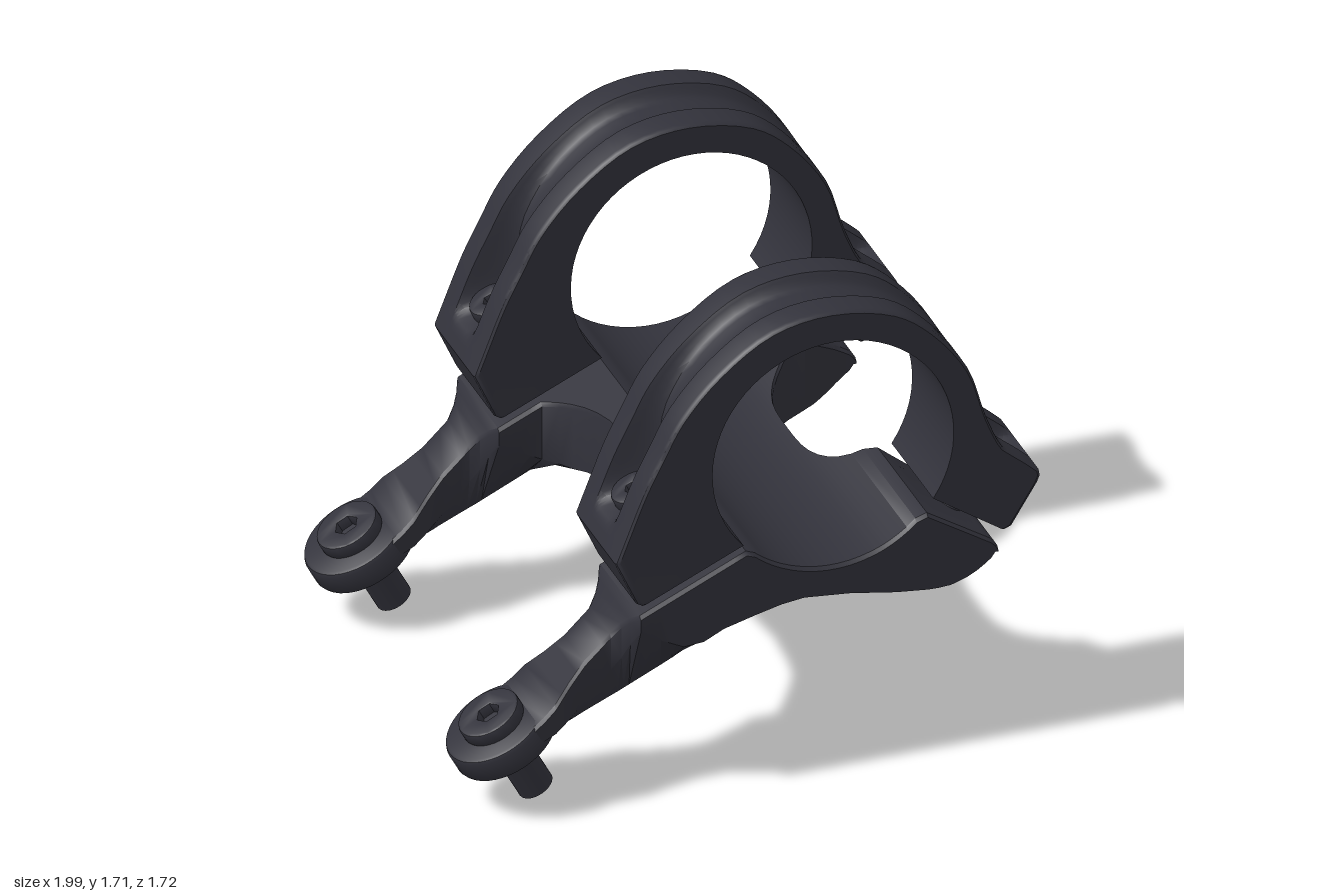
import * as THREE from 'three';
import { toCreasedNormals } from 'three/addons/utils/BufferGeometryUtils.js';

const BORE = { x: 0.27, y: 1.18, r: 0.42 };
const MID_Z = 0.663;

// Piecewise linear lookup in a short [x, value] table
function lookup(table, x) {
  if (x <= table[0][0]) return table[0][1];
  for (let i = 1; i < table.length; i++) {
    const [x0, a] = table[i - 1], [x1, b] = table[i];
    if (x <= x1) return a + (b - a) * (x - x0) / (x1 - x0);
  }
  return table[table.length - 1][1];
}

// Closed solid through equal-length rings; flat(p) projects a ring for its end caps
function loft(rings, flat, crease) {
  const n = rings[0].length, tris = [];
  const tri = (a, b, c) => tris.push([a, b, c]);
  for (let i = 0; i + 1 < rings.length; i++) {
    for (let j = 0; j < n; j++) {
      const k = (j + 1) % n, A = rings[i], B = rings[i + 1];
      tri(A[j], A[k], B[k]);
      tri(A[j], B[k], B[j]);
    }
  }
  const area = THREE.ShapeUtils.area(rings[0].map(flat));
  [rings[0], rings[rings.length - 1]].forEach((ring, end) => {
    for (const [a, b, c] of THREE.ShapeUtils.triangulateShape(ring.map(flat), [])) {
      const turn = THREE.ShapeUtils.area([ring[a], ring[b], ring[c]].map(flat)) * area > 0;
      if (turn === (end === 1)) tri(ring[a], ring[b], ring[c]);
      else tri(ring[a], ring[c], ring[b]);
    }
  });
  // make all faces point outward
  const cross = new THREE.Vector3();
  let volume = 0;
  for (const [a, b, c] of tris) volume += a.dot(cross.crossVectors(b, c));
  const pos = [];
  for (const [a, b, c] of tris) {
    for (const p of volume > 0 ? [a, b, c] : [a, c, b]) pos.push(p.x, p.y, p.z);
  }
  const g = new THREE.BufferGeometry();
  g.setAttribute('position', new THREE.Float32BufferAttribute(pos, 3));
  return toCreasedNormals(g, crease);
}

// Upper clamp: one profile for the rails, one for the groove with its bolt pockets
function capGeometry() {
  const rail = [[-0.485, 0.91], [-0.45, 1.0], [-0.39, 1.15], [-0.33, 1.27], [-0.26, 1.4], [-0.126, 1.55],
    [0.06, 1.675], [0.265, 1.71], [0.49, 1.663], [0.62, 1.567], [0.745, 1.4], [0.81, 1.203],
    [0.864, 1.085], [0.89, 1.06], [0.95, 1.01], [0.992, 0.972]];
  const groove = [[-0.485, 0.91], [-0.45, 0.99], [-0.28, 1.07], [-0.25, 1.14], [-0.215, 1.33], [-0.1, 1.515],
    [0.07, 1.638], [0.265, 1.67], [0.475, 1.625], [0.61, 1.545], [0.745, 1.4], [0.81, 1.203],
    [0.864, 1.085], [0.855, 1.0], [0.915, 0.96], [0.992, 0.972]];
  const sample = pts => new THREE.CatmullRomCurve3(
    pts.map(p => new THREE.Vector3(p[0], p[1], 0)), false, 'centripetal').getPoints(60);
  const railPts = sample(rail), groovePts = sample(groove);
  const inner = [];
  for (let i = 0; i <= 48; i++) {
    const a = THREE.MathUtils.degToRad(-34 + 256 * i / 48);
    inner.push([BORE.x + BORE.r * Math.cos(a), BORE.y + BORE.r * Math.sin(a)]);
  }
  // [z, groove weight, outer scale]
  const half = [[0.195, 0, 0.982], [0.188, 0, 0.995], [0.175, 0, 1], [0.088, 0, 1], [0.08, 0.25, 1],
    [0.07, 0.65, 1], [0.055, 0.92, 1], [0.03, 1, 1]];
  const stations = [...half.map(([z, w, s]) => [-z, w, s]), ...half.slice().reverse()];
  const rings = stations.map(([z, w, s]) => {
    const out = railPts.map((p, i) => p.clone().lerp(groovePts[i], w));
    for (const [x, y] of [[0.995, 0.955], [0.985, 0.93], [0.895, 0.785], [0.87, 0.775]]) out.push(new THREE.Vector3(x, y, 0));
    const low = [[-0.395, 0.736], [-0.41, 0.745]].map(([x, y]) => new THREE.Vector3(x, y, 0));
    for (const p of [...out, ...low]) {
      p.set(BORE.x + (p.x - BORE.x) * s, BORE.y + (p.y - BORE.y) * s, z);
    }
    return [...out, ...inner.map(([x, y]) => new THREE.Vector3(x, y, z)), ...low];
  });
  return loft(rings, p => new THREE.Vector2(p.x, p.y), 0.6);
}

// Lower body: saddle, half of the bridge and one arm, as sections along x
const TOP = [[-0.76, 0.33], [-0.72, 0.36], [-0.62, 0.455], [-0.47, 0.6], [-0.4, 0.7], [-0.03, 0.87]];
const TOP_RIGHT = [[0.6, 0.89], [0.83, 0.745], [0.845, 0.72]];
const BOTTOM = [[-0.76, 0.23], [-0.72, 0.247], [-0.47, 0.358], [-0.26, 0.457], [0.01, 0.6], [0.05, 0.63],
  [0.09, 0.645], [0.17, 0.655], [0.33, 0.64], [0.49, 0.612], [0.62, 0.598], [0.68, 0.602], [0.73, 0.617],
  [0.78, 0.643], [0.82, 0.675], [0.845, 0.71]];
const SIDE = [[-0.76, 0.26], [-0.62, 0.325], [-0.5, 0.42], [-0.44, 0.52], [-0.4, 0.64], [-0.33, 0.6], [-0.25, 0.56],
  [-0.18, 0.565], [-0.11, 0.6], [0, 0.63], [0.09, 0.652]];
const ARM_WIDTH = [[-0.76, 0.16], [-0.68, 0.155], [-0.62, 0.125], [-0.56, 0.104], [-0.47, 0.104], [-0.43, 0.13], [-0.4, 0.195]];
const STATIONS = [-0.76, -0.72, -0.68, -0.65, -0.62, -0.59, -0.56, -0.5, -0.47, -0.44, -0.42, -0.4, -0.36, -0.33, -0.29,
  -0.25, -0.21, -0.18, -0.155, -0.135, -0.12, -0.113, -0.11, -0.07, -0.03, 0, 0.03, 0.06, 0.09, 0.13, 0.17, 0.21,
  0.25, 0.29, 0.33, 0.37, 0.41, 0.43, 0.4302, 0.433, 0.44, 0.455, 0.475, 0.5, 0.53, 0.56, 0.6, 0.64, 0.68, 0.71,
  0.74, 0.77, 0.8, 0.82, 0.835, 0.845];

function bodyTop(x) {
  if (x <= -0.03) return lookup(TOP, x);
  if (x >= 0.6) return lookup(TOP_RIGHT, x);
  return Math.min(0.89, BORE.y - Math.sqrt(BORE.r ** 2 - (x - BORE.x) ** 2));
}

function bridgeEdge(x) {
  if (x < -0.11) return 0.468 * Math.min(1, (-0.11 - x) / 0.14) ** 0.37;
  if (x > 0.43) return 0.468 * Math.min(1, (x - 0.43) / 0.35) ** 0.31;
  return 0;
}

function bodyGeometry(side) {
  const rings = STATIONS.map(x => {
    const arm = x < -0.4, hw = lookup(ARM_WIDTH, x);
    const zi = arm ? MID_Z - hw : bridgeEdge(x), zo = MID_Z + hw;
    const yt = bodyTop(x), yb = lookup(BOTTOM, x);
    const ys = x < 0.09 ? lookup(SIDE, x) : yb + 0.007;
    const w = arm ? Math.min(0.085, hw * 0.8) : 0.085;
    const b = 0.012;
    return [[zi, yt - b], [zi + b, yt], [zo - b, yt], [zo, yt - b], [zo, Math.min(ys, yt - b * 1.5)],
      [MID_Z + w, yb], [MID_Z - w, yb], [zi, Math.min(ys, yt - b * 1.5)]]
      .map(([z, y]) => new THREE.Vector3(x, zi === 0 && z === 0 && y === yt - b ? yt : y, z * side));
  });
  return loft(rings, p => new THREE.Vector2(p.z, p.y), 0.65);
}

export function createModel() {
  const model = new THREE.Group();
  model.name = 'handlebarClamp';
  const metal = new THREE.MeshStandardMaterial({ color: 0x32323b });
  metal.name = 'matte black metal';

  const add = (parent, name, geometry) => {
    const mesh = new THREE.Mesh(geometry, metal);
    mesh.name = name;
    parent.add(mesh);
    return mesh;
  };

  // Socket-head bolt; its origin is the underside of the head
  const bolt = (name, x, y, z, tilt, r, h, shaftR, length) => {
    const g = new THREE.Group();
    g.name = name;
    const shape = new THREE.Shape().absarc(0, 0, r - 0.008, 0, Math.PI * 2);
    const hex = [];
    for (let i = 0; i < 6; i++) {
      hex.push(new THREE.Vector2(Math.cos(i * Math.PI / 3), Math.sin(i * Math.PI / 3)).multiplyScalar(r * 0.45));
    }
    shape.holes.push(new THREE.Path(hex));
    const head = new THREE.ExtrudeGeometry(shape, {
      depth: h - 0.016, bevelThickness: 0.008, bevelSize: 0.008, bevelSegments: 2, curveSegments: 16 });
    head.translate(0, 0, 0.008).rotateX(-Math.PI / 2);
    add(g, 'boltHead', toCreasedNormals(head, 0.6));
    add(g, 'socketFloor', new THREE.CylinderGeometry(r * 0.7, r * 0.7, 0.01, 24).translate(0, 0.006, 0));
    add(g, 'boltShaft', new THREE.CylinderGeometry(shaftR, shaftR, length, 28).translate(0, -length / 2, 0));
    g.position.set(x, y, z);
    g.rotation.z = tilt;
    model.add(g);
  };

  const cap = capGeometry();
  const padProfile = [[0, -0.048], [0.168, -0.048], [0.178, -0.044], [0.183, -0.033], [0.183, 0.033], [0.178, 0.044],
    [0.168, 0.048], [0, 0.048]].map(([x, y]) => new THREE.Vector2(x, y));
  const pad = toCreasedNormals(new THREE.LatheGeometry(padProfile, 40), 0.6);

  for (const side of [1, -1]) {
    const z = MID_Z * side;
    add(model, 'clampCap', cap).position.z = z;
    add(model, 'lowerBody', bodyGeometry(side));

    // Mounting pad at the end of the arm
    const eye = add(model, 'mountingPad', pad);
    eye.position.set(-0.815, 0.249, z);
    eye.rotation.z = 0.5;

    bolt('mountingBolt', -0.837, 0.289, z, 0.5, 0.11, 0.05, 0.062, 0.298);
    bolt('rearClampBolt', -0.335, 1.03, z, 0.433, 0.078, 0.055, 0.055, 0.34);
    bolt('frontClampBolt', 0.872, 0.985, z, -0.585, 0.058, 0.035, 0.042, 0.3);
  }
  return model;
}
